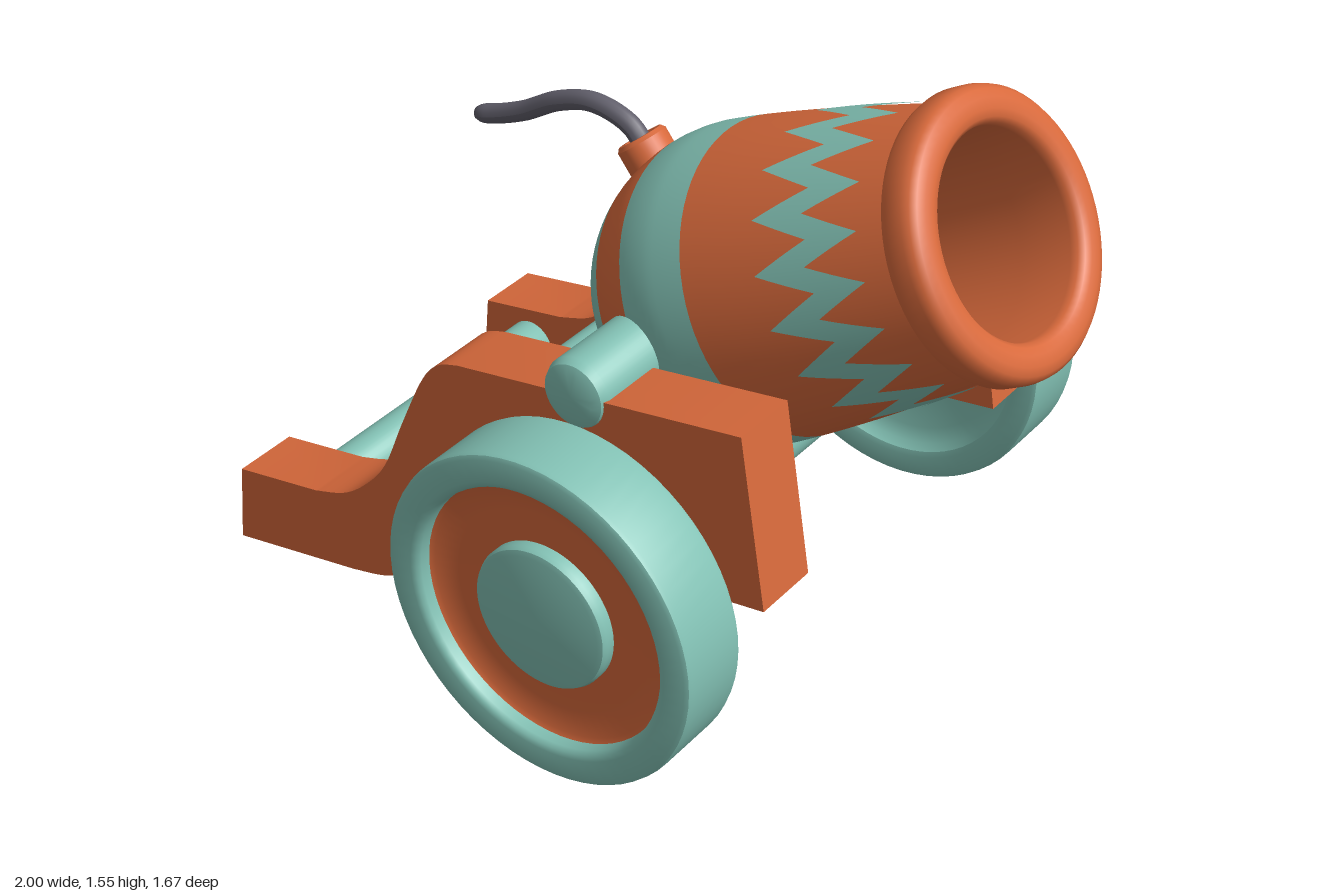
import * as THREE from 'three';
import { toCreasedNormals } from 'three/addons/utils/BufferGeometryUtils.js';

const orange = new THREE.MeshStandardMaterial({ color: 0xd96a3c });
const teal = new THREE.MeshStandardMaterial({ color: 0x83c2b5 });
const grey = new THREE.MeshStandardMaterial({ color: 0x62606c });

function add(parent, name, geometry, material) {
  const mesh = new THREE.Mesh(geometry, material);
  mesh.name = name;
  parent.add(mesh);
  return mesh;
}

// Turned part from [radius, height] pairs, with sharp edges kept
function turned(points, segments = 64) {
  const profile = points.map(([r, y]) => new THREE.Vector2(r, y));
  return toCreasedNormals(new THREE.LatheGeometry(profile, segments), 0.6);
}

// Round bar along z with softened ends
function rod(parent, name, x, y, radius, half, bevel = 0.02) {
  const geo = turned([[0, -half], [radius - bevel, -half], [radius - bevel * 0.3, -half + bevel * 0.3],
    [radius, -half + bevel], [radius, half - bevel], [radius - bevel * 0.3, half - bevel * 0.3],
    [radius - bevel, half], [0, half]], 40);
  const mesh = add(parent, name, geo.rotateX(Math.PI / 2), teal);
  mesh.position.set(x, y, 0);
}

// Barrel radius along its axis: rounded breech, gently tapering front
function barrelRadius(u) {
  return u < 0.12
    ? 0.382 * Math.sqrt(1 - ((0.12 - u) / 0.42) ** 2)
    : 0.382 - 0.084 * ((u - 0.12) / 0.66) ** 1.3;
}

function barrelBand(from, to, closed) {
  const points = closed ? [new THREE.Vector2(0, from)] : [];
  for (let i = 0; i <= 12; i++) {
    const u = from + (to - from) * i / 12;
    points.push(new THREE.Vector2(barrelRadius(u), u));
  }
  return new THREE.LatheGeometry(points, 72);
}

// Zigzag stripe lying just above the barrel surface
function zigzagStripe(teeth, low, width, height) {
  const perTooth = 8, rows = 4, columns = teeth * perTooth;
  const positions = [], index = [];
  for (let i = 0; i < columns; i++) {
    const angle = i / columns * Math.PI * 2;
    const phase = (i % perTooth) / perTooth;
    const start = low + height * (1 - Math.abs(1 - 2 * phase));
    for (let j = 0; j <= rows; j++) {
      const u = start + width * j / rows;
      const r = barrelRadius(u) + 0.004;
      positions.push(r * Math.sin(angle), u, r * Math.cos(angle));
      if (j === rows) continue;
      const a = i * (rows + 1) + j, b = ((i + 1) % columns) * (rows + 1) + j;
      index.push(a, b, a + 1, b, b + 1, a + 1);
    }
  }
  const geo = new THREE.BufferGeometry();
  geo.setAttribute('position', new THREE.Float32BufferAttribute(positions, 3));
  geo.setIndex(index);
  geo.computeVertexNormals();
  return geo;
}

function makeBarrel() {
  const barrel = new THREE.Group();
  barrel.name = 'barrel';
  const bands = [[-0.275, -0.2, orange], [-0.2, -0.1, teal], [-0.1, 0.025, orange],
    [0.025, 0.22, teal], [0.22, 0.78, orange]];
  bands.forEach(([from, to, material], i) =>
    add(barrel, 'barrelBand' + (i + 1), barrelBand(from, to, i === 0), material));
  add(barrel, 'zigzagStripe', zigzagStripe(18, 0.42, 0.13, 0.14), teal);

  // Muzzle ring running on into the bore
  add(barrel, 'muzzleAndBore', turned([[0.29, 0.758], [0.312, 0.76], [0.325, 0.768], [0.332, 0.785],
    [0.332, 0.825], [0.327, 0.845], [0.315, 0.858], [0.295, 0.865], [0.27, 0.865], [0.252, 0.86],
    [0.241, 0.848], [0.238, 0.83], [0.232, 0.7], [0.222, 0.4], [0.18, 0.36], [0, 0.35]], 72), orange);

  // Knob on the back of the breech
  const knob = add(barrel, 'breechKnob', new THREE.SphereGeometry(0.08, 32, 20), orange);
  knob.scale.y = 0.55;
  knob.position.y = -0.29;

  barrel.position.set(0.095, 0.862, 0);
  barrel.rotation.z = -THREE.MathUtils.degToRad(61);
  return barrel;
}

// Fuse: a tube narrowed toward its free tip
function makeFuse() {
  const fuse = new THREE.Group();
  fuse.name = 'fuse';
  const holder = add(fuse, 'fuseHolder', turned([[0, -0.05], [0.064, -0.05], [0.064, 0.03],
    [0.056, 0.04], [0.04, 0.04], [0.03, 0.03], [0, 0.03]], 32), orange);
  holder.position.set(-0.13, 1.155, 0);
  holder.rotation.z = THREE.MathUtils.degToRad(38);

  const path = new THREE.CatmullRomCurve3([[-0.13, 1.15], [-0.18, 1.208], [-0.285, 1.235], [-0.39, 1.207],
    [-0.5, 1.145], [-0.59, 1.108], [-0.655, 1.09]].map(([x, y]) => new THREE.Vector3(x, y, 0)));
  const geo = new THREE.TubeGeometry(path, 48, 0.025, 14);
  const pos = geo.attributes.position, p = new THREE.Vector3();
  for (let i = 0; i < pos.count; i++) {
    const t = Math.floor(i / 15) / 48;
    const k = t > 0.92 ? Math.sqrt(Math.max(0, 1 - ((t - 0.92) / 0.08) ** 2)) : 1;
    const c = path.getPointAt(t);
    p.fromBufferAttribute(pos, i).sub(c).multiplyScalar(k).add(c);
    pos.setXYZ(i, p.x, p.y, p.z);
  }
  geo.computeVertexNormals();
  add(fuse, 'fuseCord', geo, grey);
  return fuse;
}

// Side cheek of the carriage, with an S-shaped tail
function cheekGeometry() {
  const v = ([x, y]) => new THREE.Vector2(x, y);
  const shape = new THREE.Shape();
  shape.moveTo(-1, 0.01);
  shape.lineTo(-0.62, 0.072);
  shape.splineThru([[-0.5, 0.105], [-0.4, 0.18], [-0.32, 0.3], [-0.25, 0.36], [-0.12, 0.4]].map(v));
  shape.lineTo(0.2, 0.445);
  shape.lineTo(0.605, 0.5);
  shape.lineTo(0.54, 0.94);
  shape.lineTo(-0.25, 0.818);
  shape.splineThru([[-0.31, 0.795], [-0.36, 0.735], [-0.43, 0.585], [-0.49, 0.445],
    [-0.55, 0.365], [-0.63, 0.3], [-0.73, 0.265]].map(v));
  shape.lineTo(-0.98, 0.225);
  const geo = new THREE.ExtrudeGeometry(shape, { depth: 0.175, bevelEnabled: false, curveSegments: 5 });
  return toCreasedNormals(geo, 0.5);
}

function makeWheel(side) {
  const wheel = new THREE.Group();
  wheel.name = side > 0 ? 'leftWheel' : 'rightWheel';
  const parts = [
    ['rim', teal, [[0, 0.7], [0.1, 0.7], [0.3, 0.685], [0.335, 0.665], [0.35, 0.645], [0.365, 0.64],
      [0.412, 0.64], [0.422, 0.645], [0.425, 0.655], [0.425, 0.82], [0.422, 0.83], [0.412, 0.835],
      [0.358, 0.835], [0.345, 0.83], [0.338, 0.82], [0.335, 0.78]]],
    ['disc', orange, [[0.337, 0.795], [0.325, 0.787], [0.26, 0.782], [0.17, 0.782]]],
    ['hub', teal, [[0.183, 0.77], [0.183, 0.805], [0.178, 0.816], [0.165, 0.82], [0, 0.822]]],
  ];
  for (const [name, material, profile] of parts)
    add(wheel, name, turned(profile).rotateX(Math.PI / 2), material);
  wheel.position.set(0.165, 0.43, 0);
  if (side < 0) wheel.rotation.y = Math.PI;
  return wheel;
}

export function createModel() {
  const cannon = new THREE.Group();
  cannon.name = 'cannon';
  cannon.add(makeBarrel(), makeFuse());

  const cheek = cheekGeometry();
  add(cannon, 'leftCheek', cheek, orange).position.z = 0.4;
  add(cannon, 'rightCheek', cheek, orange).position.z = -0.575;

  rod(cannon, 'trunnion', 0.09, 0.872, 0.088, 0.59, 0.03);
  rod(cannon, 'axle', 0.165, 0.43, 0.088, 0.72);
  rod(cannon, 'middleCrossbar', -0.31, 0.51, 0.07, 0.42);
  rod(cannon, 'tailCrossbar', -0.83, 0.143, 0.068, 0.42);

  cannon.add(makeWheel(1), makeWheel(-1));
  return cannon;
}
